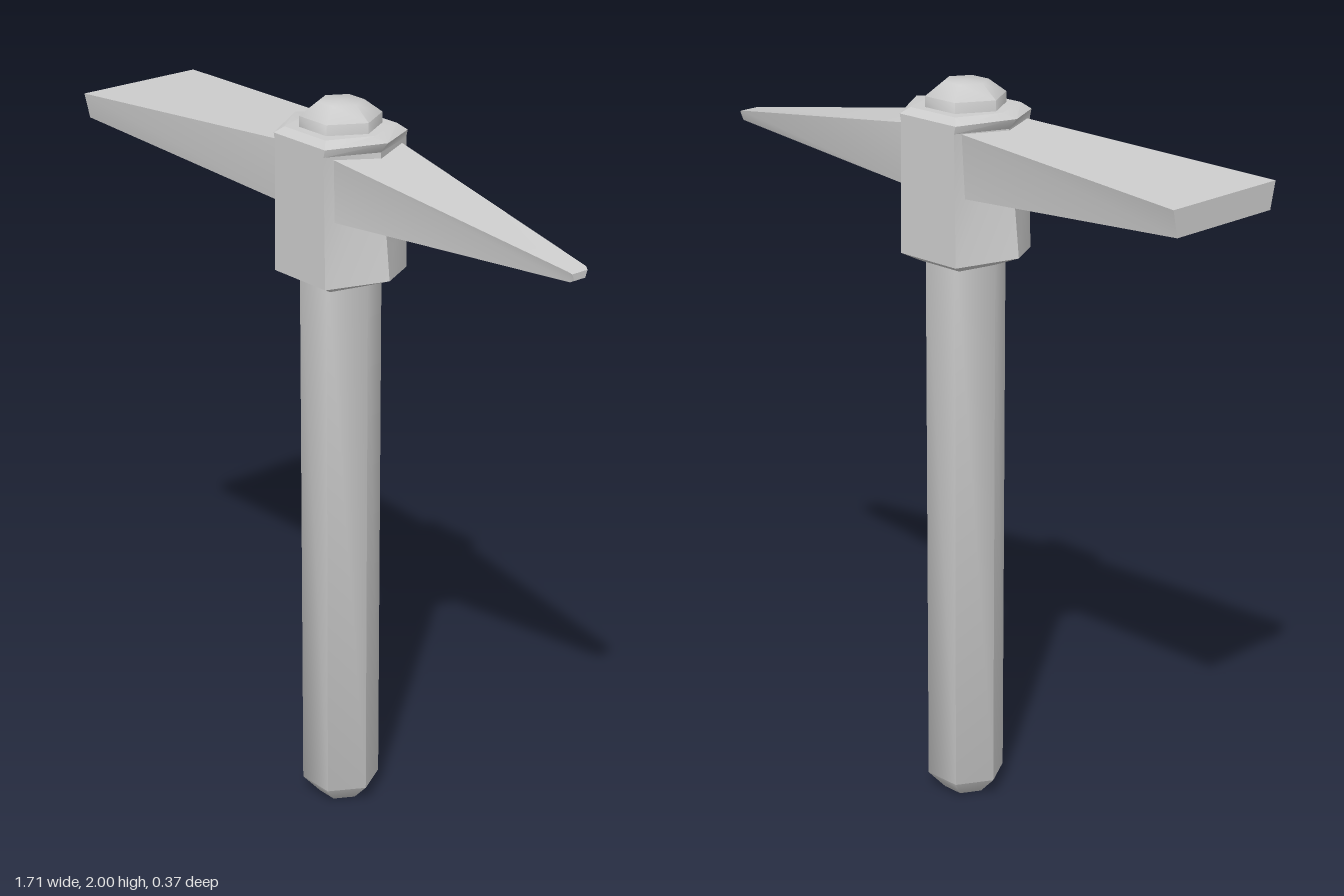
import * as THREE from 'three';
import { toCreasedNormals } from 'three/addons/utils/BufferGeometryUtils.js';

// Skin a stack of equal-length rings of [x, y, z] points and cap both ends
function loft(rings) {
  const n = rings[0].length, index = [];
  for (let r = 0; r < rings.length - 1; r++) {
    for (let i = 0; i < n; i++) {
      const a = r * n + i, b = r * n + (i + 1) % n;
      index.push(a, b, b + n, a, b + n, a + n);
    }
  }
  const last = (rings.length - 1) * n;
  for (let i = 1; i < n - 1; i++) {
    index.push(0, i + 1, i, last, last + i, last + i + 1);
  }
  const geo = new THREE.BufferGeometry();
  geo.setAttribute('position', new THREE.Float32BufferAttribute(rings.flat(2), 3));
  geo.setIndex(index);
  return geo;
}

// Hexagon with its two tips on the x axis; tips and corners have their own heights
const hexRing = (tipX, tipY, cornerX, cornerZ, cornerY) => [
  [tipX, tipY, 0], [cornerX, cornerY, -cornerZ], [-cornerX, cornerY, -cornerZ],
  [-tipX, tipY, 0], [-cornerX, cornerY, cornerZ], [cornerX, cornerY, cornerZ],
];

// Four-cornered cross-section at a given x
const bladeRing = (x, bottom, top, zBottom, zTop) => [
  [x, top, -zTop], [x, top, zTop], [x, bottom, zBottom], [x, bottom, -zBottom],
];

// Six-sided turned part from [radius, y] pairs, softly shaded
function hexLathe(profile) {
  const points = profile.map(([r, y]) => new THREE.Vector2(r, y));
  return toCreasedNormals(new THREE.LatheGeometry(points, 6, Math.PI / 2), 1.1);
}

export function createModel() {
  const grey = new THREE.MeshStandardMaterial({ color: 0xcccccc });
  grey.name = 'grey';
  const group = new THREE.Group();
  group.name = 'pickaxe';
  const add = (name, geometry) => {
    const mesh = new THREE.Mesh(geometry, grey);
    mesh.name = name;
    group.add(mesh);
  };

  // Handle with a bevelled foot, and its end showing above the head
  add('handle', hexLathe([[0, 0], [0.06, 0], [0.107, 0.05], [0.107, 1.6]]));
  add('handleTop', hexLathe([[0.107, 1.9], [0.107, 1.965], [0.06, 2], [0, 2]]));

  // Collar gripping the handle, with flared tips at top and bottom
  add('collar', toCreasedNormals(loft([
    hexRing(0.105, 1.535, 0.07, 0.095, 1.53),
    hexRing(0.19, 1.57, 0.1, 0.137, 1.553),
    hexRing(0.153, 1.9, 0.095, 0.137, 1.9),
    hexRing(0.18, 1.93, 0.1, 0.137, 1.92),
    hexRing(0.13, 1.937, 0.08, 0.118, 1.937),
  ]), 0.5));

  // Broad blade widening outwards, and pointed spike on the other side
  add('broadBlade', toCreasedNormals(loft([
    bladeRing(-0.855, 1.795, 1.865, 0.17, 0.186),
    bladeRing(-0.06, 1.727, 1.9, 0.108, 0.115),
  ]), 0.5));
  add('spike', toCreasedNormals(loft([
    bladeRing(0.06, 1.727, 1.898, 0.118, 0.118),
    bladeRing(0.845, 1.755, 1.783, 0.022, 0.03),
    bladeRing(0.855, 1.76, 1.778, 0.018, 0.025),
  ]), 0.5));

  return group;
}
